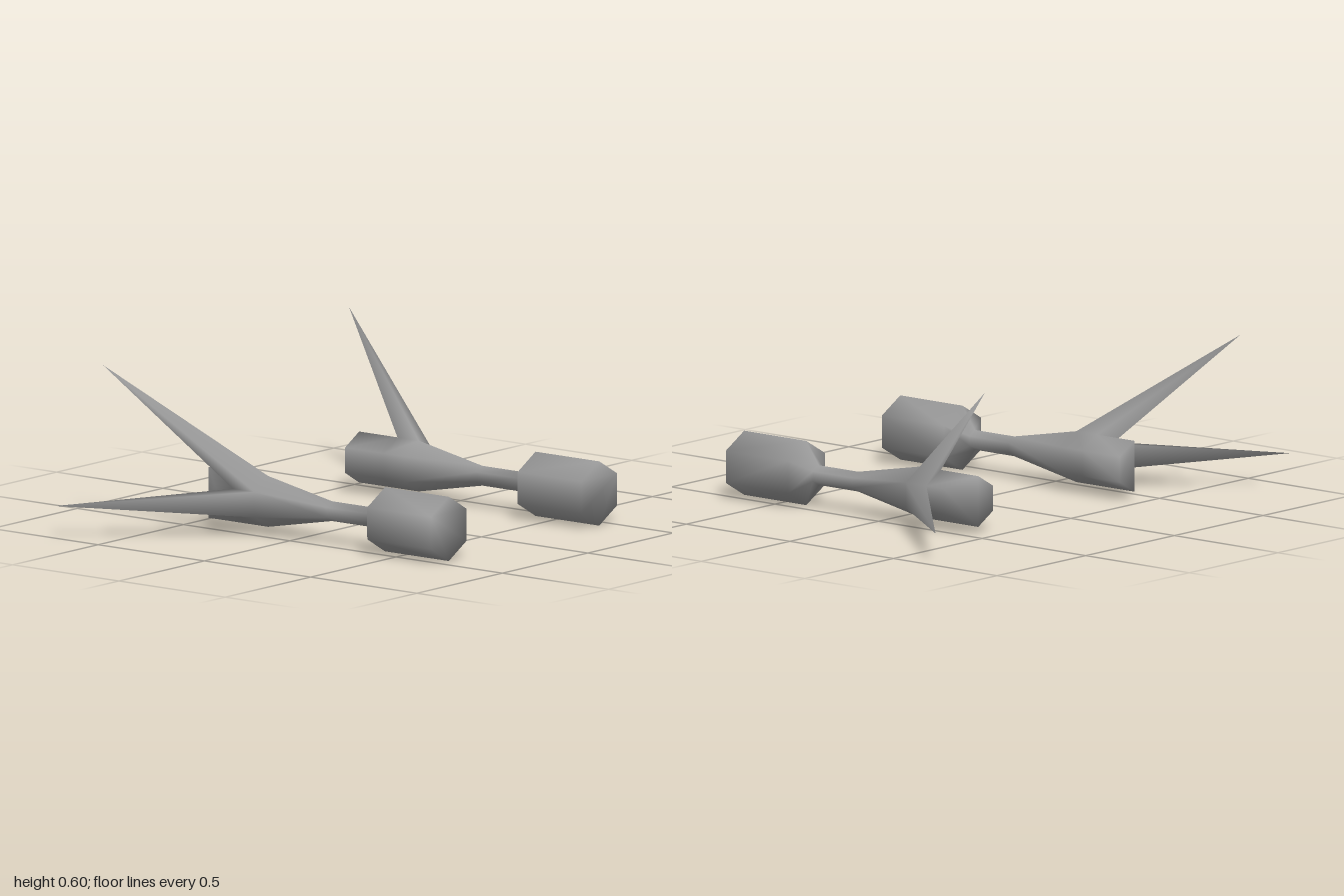
import * as THREE from 'three';

const CX = 0.44, CY = 0.12;

// [z, radius] of the hexagonal sections from pommel to head
const RINGS = [
  [0.7, 0.12], [0.4, 0.12], [0.34, 0.037], [0.15, 0.037],
  [-0.15, 0.095], [-0.25, 0.095], [-0.43, 0.095],
];
const LAST = RINGS.length - 1;
const PRONG_STRIP = 4;
const PRONG_FACES = { 5: 0, 0: 60 }; // face of the head -> angle of its prong

// point at an angle (degrees) and radius around one weapon's long axis
function polar(side, deg, r, z) {
  const a = THREE.MathUtils.degToRad(deg);
  return [side * (CX + r * Math.cos(a)), CY + r * Math.sin(a), z];
}

// pommel, grip, flared head and two prongs in one continuous smooth skin
function createWeapon(name, side, material) {
  const points = [], tris = [];
  RINGS.forEach(([z, r], i) => {
    for (let k = 0; k < 6; k++) {
      // the outer two corners of the last ring are pulled forward into a bevel
      const bevel = i === LAST && (k === 0 || k === 5) ? 0.095 : 0;
      points.push(polar(side, 30 + 60 * k, r, z + bevel));
    }
  });

  for (let i = 0; i < LAST; i++) {
    for (let k = 0; k < 6; k++) {
      const a = i * 6 + k, b = i * 6 + (k + 1) % 6;
      const corners = [a, a + 6, b + 6, b];
      if (i === PRONG_STRIP && k in PRONG_FACES) {
        // prong: the face is drawn out to a sharp tip
        const tip = points.push(polar(side, PRONG_FACES[k], 0.56, -0.703)) - 1;
        corners.forEach((c, j) => tris.push([c, corners[(j + 1) % 4], tip]));
      } else {
        tris.push([a, a + 6, b + 6], [a, b + 6, b]);
      }
    }
  }

  // front cap
  for (let k = 1; k < 5; k++) tris.push([0, k, k + 1]);
  // flat half and bevelled half of the rear cap
  for (const t of [[1, 4, 3], [1, 3, 2], [0, 5, 4], [0, 4, 1]]) tris.push(t.map(n => n + LAST * 6));

  // the mirrored side needs its corners in reverse order
  const index = tris.flatMap(([a, b, c]) => (side > 0 ? [a, b, c] : [a, c, b]));
  const geo = new THREE.BufferGeometry();
  geo.setAttribute('position', new THREE.Float32BufferAttribute(points.flat(), 3));
  geo.setIndex(index);
  geo.computeVertexNormals();
  const mesh = new THREE.Mesh(geo, material);
  mesh.name = name;
  return mesh;
}

export function createModel() {
  const model = new THREE.Group();
  model.name = 'prongedPair';
  const material = new THREE.MeshStandardMaterial({ color: 0x999999 });
  model.add(
    createWeapon('leftProngedWeapon', 1, material),
    createWeapon('rightProngedWeapon', -1, material)
  );
  return model;
}
